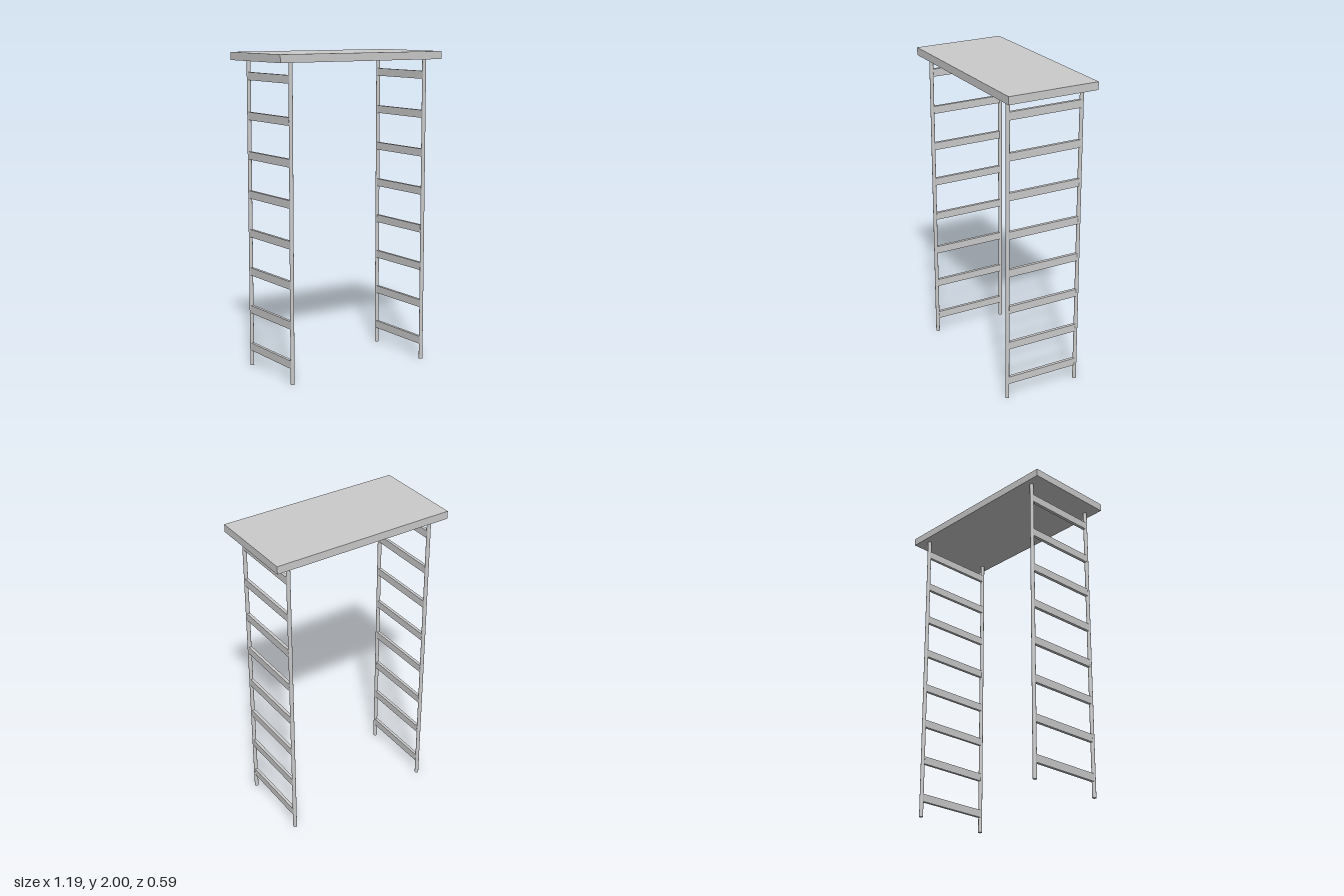
import * as THREE from 'three';

export function createModel() {
  const model = new THREE.Group();
  const material = new THREE.MeshStandardMaterial({ color: 0xcccccc });
  const u = 2 / 40.5; // design unit: the whole is 40.5 units tall

  const add = (name, geometry, x, y, z, parent = model) => {
    const mesh = new THREE.Mesh(geometry, material);
    mesh.name = name;
    mesh.position.set(x, y, z);
    parent.add(mesh);
  };

  // Flat top slab
  add('topSlab', new THREE.BoxGeometry(24 * u, u, 12 * u), 0, 40 * u, 0);

  // Two ladder-like sides, each with two round posts and eight flat rungs
  const post = new THREE.CylinderGeometry(0.25 * u, 0.25 * u, 39.75 * u, 16);
  const rung = new THREE.BoxGeometry(0.4 * u, u, 9.7 * u);
  for (const side of [1, -1]) {
    const ladder = new THREE.Group();
    ladder.name = side > 0 ? 'leftLadder' : 'rightLadder';
    ladder.position.x = side * 10 * u;
    model.add(ladder);
    add('frontPost', post, 0, 19.875 * u, 5 * u, ladder);
    add('backPost', post, 0, 19.875 * u, -5 * u, ladder);
    for (let i = 0; i < 8; i++) add('rung' + (i + 1), rung, 0, (2.5 + 5 * i) * u, 0, ladder);
  }
  return model;
}
